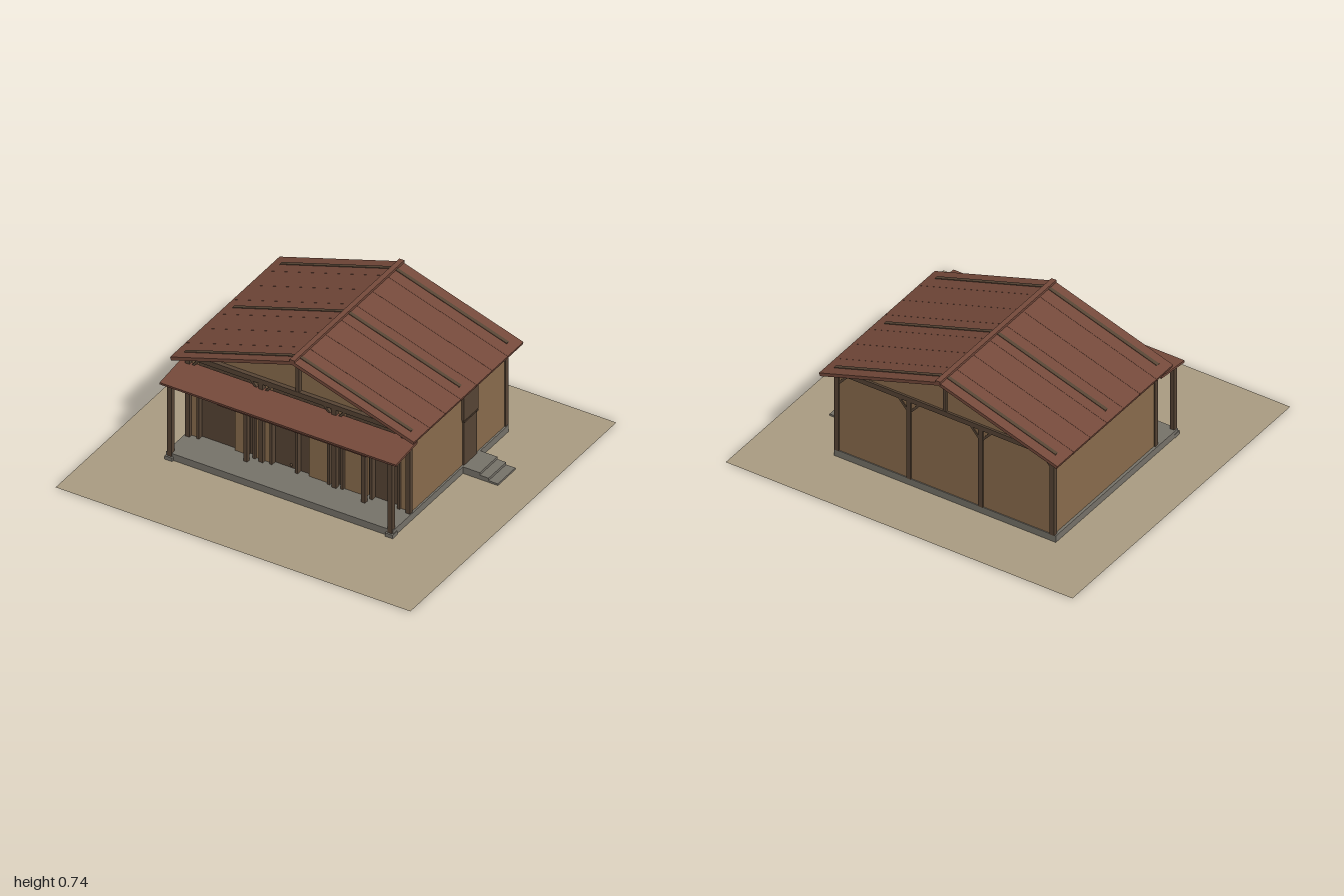
import * as THREE from 'three';

const mat = (color, extra = {}) => new THREE.MeshStandardMaterial({ color, ...extra });

export function createModel() {
  const house = new THREE.Group();
  house.name = 'house';
  const earth = mat(0xaa9c82, { side: THREE.DoubleSide });
  const concrete = mat(0x77736a);
  const plaster = mat(0x8b6d4d);
  const wood = mat(0x574535);
  const roofing = mat(0x754a3b);
  const XC = -0.04;                       // centre line of the house
  const columns = [-0.66, -0.247, 0.167, 0.583];
  const trusses = [0.277, -0.165, -0.597];

  // Box given by its lower and upper limits on each axis
  function box(name, material, x0, x1, y0, y1, z0, z1, parent = house) {
    const m = new THREE.Mesh(new THREE.BoxGeometry(x1 - x0, y1 - y0, z1 - z0), material);
    m.position.set((x0 + x1) / 2, (y0 + y1) / 2, (z0 + z1) / 2);
    m.name = name;
    parent.add(m);
    return m;
  }
  const post = (name, x, z, y0, y1, w = 0.025) =>
    box(name, wood, x - w / 2, x + w / 2, y0, y1, z - w / 2, z + w / 2);

  // Bar from a to b in the x-y plane, with depth along z
  function bar(name, material, ax, ay, bx, by, thick, z, depth) {
    const m = new THREE.Mesh(
      new THREE.BoxGeometry(Math.hypot(bx - ax, by - ay), thick, depth), material);
    m.position.set((ax + bx) / 2, (ay + by) / 2, z);
    m.rotation.z = Math.atan2(by - ay, bx - ax);
    m.name = name;
    house.add(m);
    return m;
  }

  // Ground sheet, slab, side steps and pier feet
  const ground = new THREE.Mesh(new THREE.PlaneGeometry(2, 1.88), earth);
  ground.rotation.x = -Math.PI / 2;
  ground.position.y = 0.002;
  ground.name = 'ground';
  house.add(ground);
  box('slab', concrete, -0.68, 0.6, 0, 0.04, -0.605, 0.45);
  [[0.695, 0.04], [0.745, 0.026], [0.797, 0.012]].forEach(([x, y]) =>
    box('step', concrete, 0.6, x, 0, y, -0.347, -0.187));
  for (const x of [columns[0], columns[3]]) {
    box('pierFoot', concrete, x - 0.022, x + 0.022, 0, 0.022, 0.418, 0.462);
    post('porchPost', x, 0.44, 0.02, 0.437);
  }

  // Side and back walls
  box('rightWall', plaster, -0.665, -0.645, 0.04, 0.5, -0.59, 0.27);
  box('leftWall', plaster, 0.57, 0.59, 0.04, 0.5, -0.59, 0.27);
  box('backWall', plaster, -0.65, 0.575, 0.04, 0.5, -0.6, -0.585);

  // Side door with a panel above it
  box('sideDoor', wood, 0.585, 0.598, 0.04, 0.292, -0.32, -0.2);
  box('sideDoorRail', wood, 0.585, 0.604, 0.292, 0.3, -0.325, -0.193);
  box('sidePanel', wood, 0.585, 0.602, 0.302, 0.49, -0.325, -0.192);

  // Front: recessed dark panelling with plaster piers
  box('frontPanelling', wood, -0.65, 0.575, 0.04, 0.5, 0.235, 0.25);
  [[-0.65, -0.615], [-0.405, -0.34], [-0.285, -0.205], [0.012, 0.115], [0.215, 0.34],
    [0.53, 0.575]].forEach(([a, b]) => box('frontPier', plaster, a, b, 0.04, 0.36, 0.245, 0.268));
  for (const x of columns) {
    const a = Math.max(x - 0.045, -0.65), b = Math.min(x + 0.045, 0.575);
    box('upperPier', plaster, a, b, 0.36, 0.5, 0.245, 0.266);
  }
  for (const x of [-0.607, -0.335, -0.29, -0.195, -0.05, 0.13, 0.205, 0.37, 0.525])
    box('doorJamb', wood, x - 0.007, x + 0.007, 0.04, 0.37, 0.245, 0.28);
  [[-0.61, -0.29], [-0.2, 0.125], [0.205, 0.53]].forEach(([a, b]) =>
    box('doorLintel', wood, a, b, 0.355, 0.37, 0.245, 0.28));
  const knob = new THREE.Mesh(new THREE.SphereGeometry(0.007, 10, 8), wood);
  knob.position.set(-0.095, 0.058, 0.255);
  knob.name = 'doorStop';
  house.add(knob);

  // Wall posts and corner braces, front and back
  for (const z of [0.277, -0.597]) {
    columns.forEach((x, i) => {
      post('wallPost', x, z, 0.04, 0.5);
      for (const s of [-1, 1]) {
        if ((i === 0 && s < 0) || (i === 3 && s > 0)) continue;
        bar('brace', wood, x + s * 0.005, 0.435, x + s * 0.062, 0.5, 0.012, z, 0.016);
      }
    });
  }
  for (const x of [columns[0], columns[3]])
    box('eaveBeam', wood, x - 0.0125, x + 0.0125, 0.487, 0.512, -0.61, 0.29);

  // Trusses: tie beam, king post and sloping chords just proud of the roof
  const roofY = d => 0.727 - d * 0.322;   // roof top surface at distance d from the ridge
  for (const z of trusses) {
    box('tieBeam', wood, -0.68, 0.6, 0.495, 0.523, z - 0.0125, z + 0.0125);
    box('kingPost', wood, XC - 0.01, XC + 0.01, 0.52, 0.715, z - 0.011, z + 0.011);
    for (const s of [-1, 1])
      bar('rafter', wood, XC, roofY(0) - 0.011, XC + s * 0.635, roofY(0.635) - 0.011,
        0.028, z, 0.02);
  }

  // Plaster gables
  const tri = new THREE.Shape([
    new THREE.Vector2(-0.6, 0.515), new THREE.Vector2(0.6, 0.515), new THREE.Vector2(0, 0.712)]);
  for (const z of [0.26, -0.592]) {
    const gable = new THREE.Mesh(
      new THREE.ExtrudeGeometry(tri, { depth: 0.012, bevelEnabled: false }), plaster);
    gable.position.set(XC, 0, z - 0.006);
    gable.name = 'gable';
    house.add(gable);
  }

  // Main roof: seven sheets on each slope, then the ridge cap
  const sheet = 1 / 7;
  for (const s of [-1, 1]) {
    for (let i = 0; i < 7; i++)
      bar('roofSheet', roofing, XC, roofY(0) - 0.009, XC + s * 0.685, roofY(0.685) - 0.009,
        0.018, -0.663 + sheet * (i + 0.5), sheet - 0.001);
  }
  box('ridgeCap', roofing, XC - 0.014, XC + 0.014, 0.718, 0.736, -0.666, 0.337);

  // Sloping sheet falling towards the front
  function leanTo(name, x0, x1, y0, z0, y1, z1, thick) {
    const m = new THREE.Mesh(
      new THREE.BoxGeometry(x1 - x0, thick, Math.hypot(z1 - z0, y1 - y0)), roofing);
    m.position.set((x0 + x1) / 2, (y0 + y1) / 2, (z0 + z1) / 2);
    m.rotation.x = Math.atan2(y0 - y1, z1 - z0);
    m.name = name;
    house.add(m);
  }

  // Porch roof and its beam
  leanTo('porchRoof', -0.705, 0.627, 0.46, 0.27, 0.437, 0.468, 0.012);
  box('porchBeam', wood, -0.67, 0.595, 0.425, 0.437, 0.43, 0.45);

  // Small canopy over the doors
  leanTo('canopy', -0.457, 0.383, 0.35, 0.27, 0.332, 0.345, 0.012);
  for (const x of [-0.312, 0.352]) post('canopyPost', x, 0.312, 0.04, 0.336, 0.022);

  return house;
}
